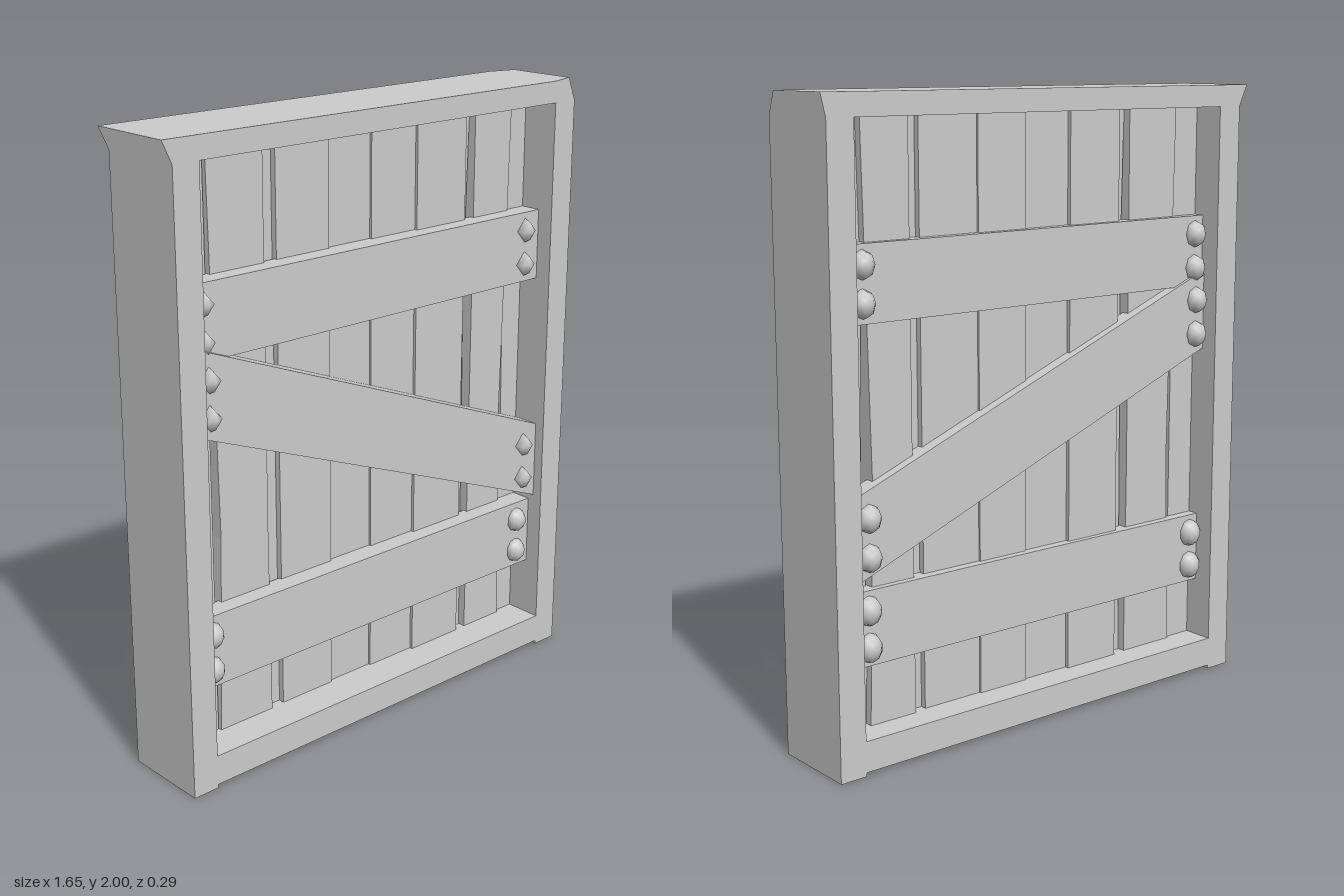
import * as THREE from 'three';

const material = new THREE.MeshStandardMaterial({ color: 0xcccccc, flatShading: true });
const smoothMaterial = new THREE.MeshStandardMaterial({ color: 0xcccccc });

const LEFT = -0.70, RIGHT = 0.732;  // opening of the frame
const BOTTOM = 0.11, TOP = 1.93;
const OUTER = 0.823;                // outer edge of the frame
const DEPTH = 0.147;                // half depth of the frame

function add(parent, name, geometry, mat = material) {
  const mesh = new THREE.Mesh(geometry, mat);
  mesh.name = name;
  parent.add(mesh);
  return mesh;
}

// Box given by its limits
function block(x0, x1, y0, y1, z0, z1) {
  return new THREE.BoxGeometry(x1 - x0, y1 - y0, z1 - z0)
    .translate((x0 + x1) / 2, (y0 + y1) / 2, (z0 + z1) / 2);
}

// Header beam: one top end flares outward, the other narrows in depth
function headerGeometry() {
  const xs = [-0.79, LEFT, RIGHT, OUTER];
  const geo = new THREE.BoxGeometry(3, 1, 1, 3, 1, 1);
  const p = geo.attributes.position;
  for (let i = 0; i < p.count; i++) {
    const column = Math.round(p.getX(i) + 1.5);
    const upper = p.getY(i) > 0;
    let x = xs[column], z = Math.sign(p.getZ(i)) * DEPTH;
    if (upper && column === 0) x = -OUTER;
    if (upper && column === 3) z *= 0.82;
    p.setXYZ(i, x, upper ? 2 : TOP, z);
  }
  return geo;
}

// Upright plank whose side edges bend at one height
function plankGeometry({ x0, x1, z0, z1, bendLeft = 0, bendRight = 0, knee = 1 }) {
  const geo = new THREE.BoxGeometry(2, 2, 1, 1, 2, 1);
  const p = geo.attributes.position;
  for (let i = 0; i < p.count; i++) {
    const row = Math.round(p.getY(i)), left = p.getX(i) < 0;
    const bend = row === 0 ? (left ? bendLeft : bendRight) : 0;
    p.setXYZ(i, (left ? x0 : x1) + bend, [BOTTOM, knee, TOP][row + 1], p.getZ(i) < 0 ? z0 : z1);
  }
  return geo;
}

// Slanted board cut upright at both ends
function braceGeometry(z0, z1) {
  const shape = new THREE.Shape([
    [LEFT, 1.125], [RIGHT, 0.565], [RIGHT, 0.828], [LEFT, 1.39],
  ].map(([x, y]) => new THREE.Vector2(x, y)));
  return new THREE.ExtrudeGeometry(shape, { depth: z1 - z0, bevelEnabled: false }).translate(0, 0, z0);
}

// Domed bolt head with its pole along z
function bolt(parent, x, y, z, sides, size) {
  const geo = new THREE.SphereGeometry(size, sides, sides > 6 ? 6 : 4)
    .rotateX(Math.PI / 2).rotateZ(Math.PI / 2).scale(0.9, 1.04, 0.9);
  add(parent, 'bolt', geo, smoothMaterial).position.set(x, y, z);
}

export function createModel() {
  const model = new THREE.Group();
  model.name = 'plankDoor';

  // Frame
  const frame = new THREE.Group();
  frame.name = 'frame';
  add(frame, 'rightPost', block(-0.79, LEFT, 0, TOP, -DEPTH, DEPTH));
  add(frame, 'leftPost', block(RIGHT, OUTER, 0, TOP, -DEPTH, DEPTH));
  add(frame, 'sill', block(LEFT, RIGHT, 0.012, BOTTOM, -DEPTH, DEPTH));
  add(frame, 'header', headerGeometry(), smoothMaterial);
  model.add(frame);

  // Upright planks, uneven in depth and with narrow gaps
  const planks = new THREE.Group();
  planks.name = 'planks';
  [
    { x0: LEFT, x1: -0.597, z0: -0.04, z1: 0.02 },
    { x0: -0.594, x1: -0.388, z0: -0.05, z1: 0.03, bendLeft: 0.02, bendRight: -0.004, knee: 0.75 },
    { x0: -0.386, x1: -0.338, z0: -0.025, z1: 0.005, bendLeft: 0.009, knee: 1.5 },
    { x0: -0.338, x1: -0.132, z0: -0.058, z1: 0.025 },
    { x0: -0.132, x1: 0.043, z0: -0.045, z1: 0.015 },
    { x0: 0.043, x1: 0.228, z0: -0.052, z1: 0.023 },
    { x0: 0.228, x1: 0.442, z0: -0.045, z1: 0.033 },
    { x0: 0.442, x1: 0.483, z0: -0.025, z1: 0.005, bendRight: -0.014, knee: 1.4 },
    { x0: 0.485, x1: 0.652, z0: -0.055, z1: 0.03, bendRight: -0.022, knee: 0.85 },
    { x0: 0.634, x1: RIGHT, z0: -0.03, z1: 0.018, bendLeft: 0.02, knee: 0.85 },
  ].forEach((spec) => add(planks, 'plank', plankGeometry(spec)));
  model.add(planks);

  // Cross boards, brace and bolts on each face
  for (const { name, board, brace, side, size } of [
    { name: 'front', board: 0.09, brace: 0.112, side: 1, size: 0.039 },
    { name: 'back', board: 0.077, brace: 0.088, side: -1, size: 0.043 },
  ]) {
    const face = new THREE.Group();
    face.name = name + 'Boards';
    const span = (inner, outer) => (side > 0 ? [inner, outer] : [-outer, -inner]);
    add(face, 'upperBoard', block(LEFT, RIGHT, 1.34, 1.573, ...span(0.015, board)));
    add(face, 'lowerBoard', block(LEFT, RIGHT, 0.31, 0.545, ...span(0.015, board)));
    add(face, 'brace', braceGeometry(...span(0.025, brace)));
    const facets = side > 0 ? 4 : 8;
    for (const x of [-0.663, 0.668]) {
      for (const y of [1.513, 1.4]) bolt(face, x, y, side * board, facets, size);
      for (const y of [0.483, 0.368]) bolt(face, x, y, side * board, 10, size + 0.002);
      const ends = x < 0 ? [1.293, 1.178] : [0.768, 0.648];
      for (const y of ends) bolt(face, x, y, side * brace, facets, size);
    }
    model.add(face);
  }
  return model;
}
